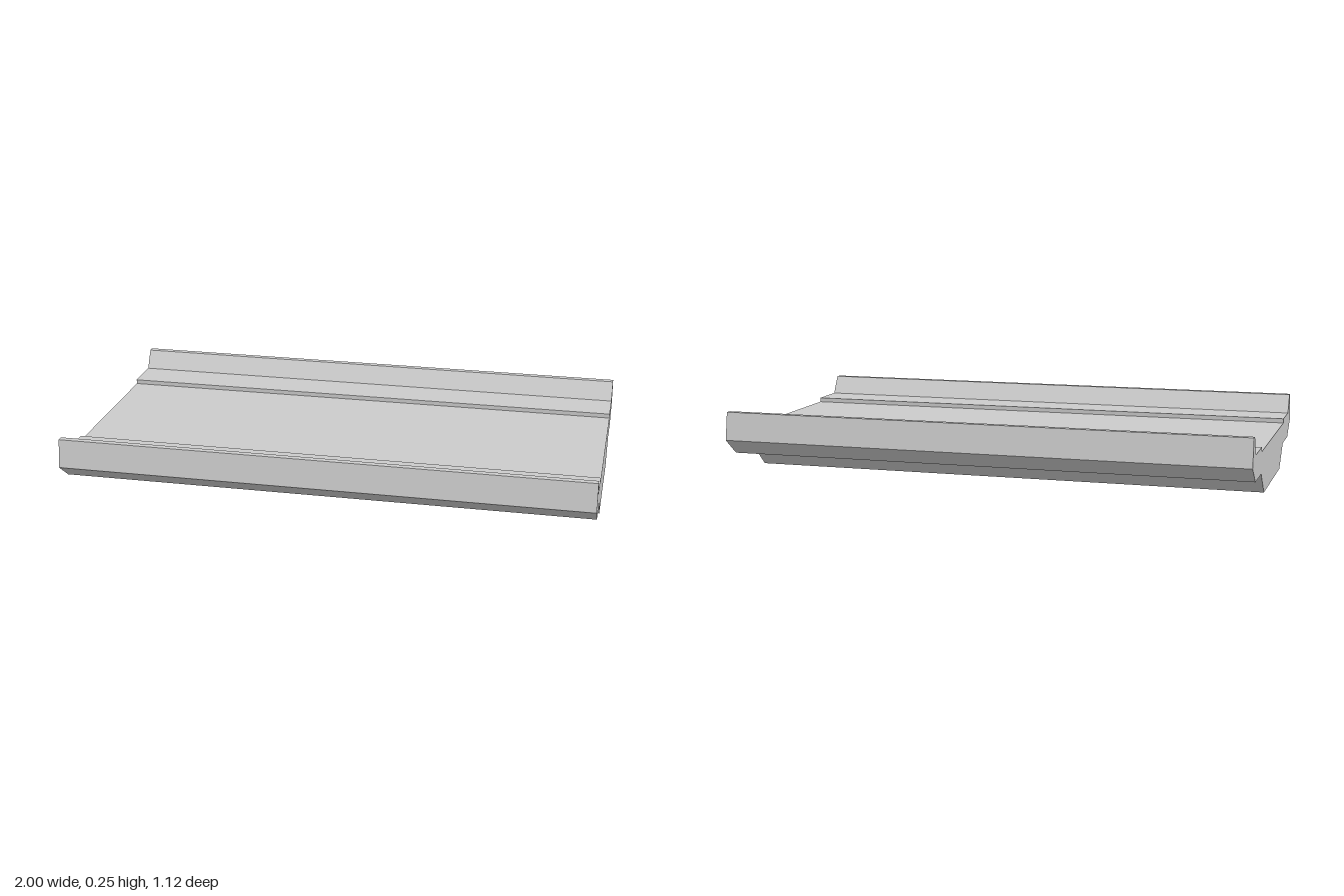
import * as THREE from 'three';

// Half of the cross-section as [z, y], from the underside out and up to the deck
const HALF_PROFILE = [
  [0.233, 0], [0.327, 0.087], [0.479, 0.087], // keel and sloped flank
  [0.56, 0.149], [0.543, 0.255], [0.519, 0.255], // raised side rim
  [0.479, 0.185], [0.327, 0.185], [0.327, 0.168], // ledge and step to the deck
];
const LENGTH = 2;

export function createModel() {
  const group = new THREE.Group();
  group.name = 'channelSlab';

  // Mirror the half profile to close the section
  const mirrored = HALF_PROFILE.map(([z, y]) => [-z, y]).reverse();
  const outline = [...HALF_PROFILE, ...mirrored].map(([z, y]) => new THREE.Vector2(z, y));

  // Sweep the section along x
  const geometry = new THREE.ExtrudeGeometry(new THREE.Shape(outline), {
    depth: LENGTH,
    bevelEnabled: false,
  });
  geometry.translate(0, 0, -LENGTH / 2);
  geometry.rotateY(Math.PI / 2);

  const slab = new THREE.Mesh(
    geometry,
    new THREE.MeshStandardMaterial({ color: 0xcccccc, flatShading: true })
  );
  slab.name = 'rimmedSlab';
  group.add(slab);
  return group;
}
